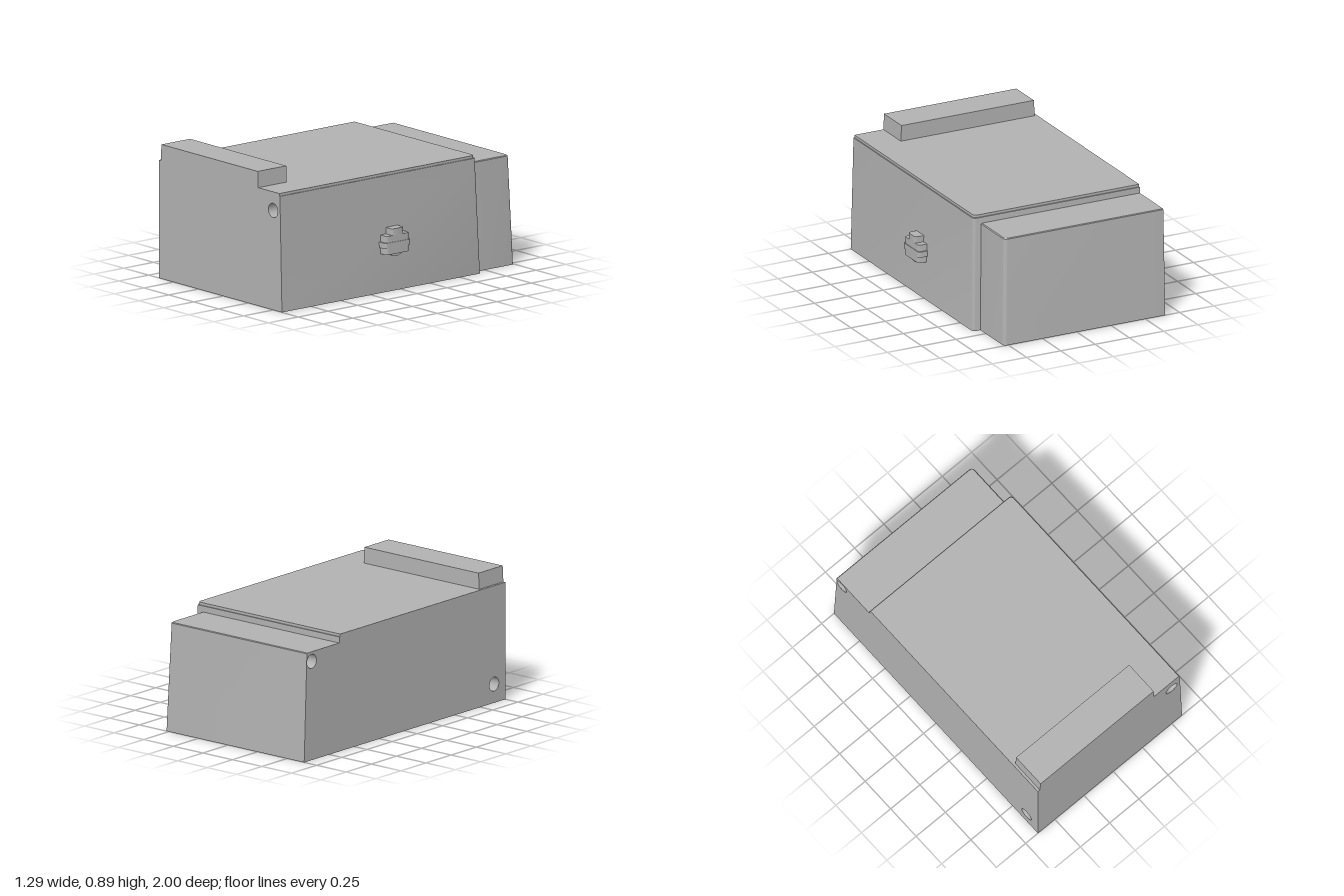
import * as THREE from 'three';
import { toCreasedNormals } from 'three/addons/utils/BufferGeometryUtils.js';

const LEFT = -0.645;
const HOLE_R = 0.047;

export function createModel() {
  const model = new THREE.Group();
  const grey = new THREE.MeshStandardMaterial({ color: 0xb2b2b2, side: THREE.DoubleSide });
  grey.name = 'plainGrey';

  const add = (name, geometry, parent = model) => {
    const mesh = new THREE.Mesh(geometry, grey);
    mesh.name = name;
    parent.add(mesh);
    return mesh;
  };
  const polygon = (points) => new THREE.Shape(points.map(([a, b]) => new THREE.Vector2(a, b)));
  const punch = (shape, a, b) => {
    const hole = new THREE.Path();
    hole.absarc(a, b, HOLE_R, 0, Math.PI * 2, true);
    shape.holes.push(hole);
  };

  // Outline of the two drafted walls, with a rounded corner between them
  const wallPath = (x, z, zStart, r = 0.025) => {
    const points = [[x, zStart]];
    for (let i = 0; i <= 6; i++) {
      const a = (i / 6) * Math.PI / 2;
      points.push([x - r + r * Math.cos(a), z + r - r * Math.sin(a)]);
    }
    points.push([LEFT, z]);
    return points;
  };

  // Drafted shell: levels are [y, right x, back z]
  const shell = (name, zStart, levels) => {
    const rings = levels.map(([y, x, z]) => wallPath(x, z, zStart).map(([px, pz]) => [px, y, pz]));
    const positions = [];
    for (let k = 0; k < rings.length - 1; k++) {
      const low = rings[k], high = rings[k + 1];
      for (let i = 0; i < low.length - 1; i++) {
        positions.push(...low[i], ...low[i + 1], ...high[i + 1], ...low[i], ...high[i + 1], ...high[i]);
      }
    }
    const walls = new THREE.BufferGeometry();
    walls.setAttribute('position', new THREE.Float32BufferAttribute(positions, 3));
    add(name + 'Walls', toCreasedNormals(walls, 0.6));

    const cap = (ring, sign) => {
      const corners = ring.map(([x, , z]) => [x, -sign * z]);
      corners.push([LEFT, -sign * zStart]);
      return new THREE.ShapeGeometry(polygon(corners))
        .rotateX(-sign * Math.PI / 2).translate(0, ring[0][1], 0);
    };
    add(name + 'Top', cap(rings[rings.length - 1], 1));
    add(name + 'Bottom', cap(rings[0], -1));
  };

  shell('mainBlock', 1, [
    [0, 0.587, -0.677], [0.765, 0.567, -0.65], [0.765, 0.56, -0.642], [0.783, 0.56, -0.642],
  ]);
  shell('rearBlock', -0.642, [
    [0, 0.533, -1], [0.72, 0.513, -0.973], [0.725, 0.507, -0.968],
  ]);

  // Flat front face with one pin hole
  const front = polygon([
    [LEFT, 0], [0.587, 0], [0.567, 0.765], [0.56, 0.765], [0.56, 0.783], [LEFT, 0.783],
  ]);
  punch(front, 0.498, 0.66);
  add('frontFace', new THREE.ShapeGeometry(front, 32).translate(0, 0, 1));

  // Flat side face with two pin holes
  const side = polygon([
    [1, 0], [1, 0.783], [-0.642, 0.783], [-0.642, 0.765], [-0.65, 0.765],
    [-0.65, 0.725], [-0.968, 0.725], [-0.973, 0.72], [-1, 0],
  ]);
  punch(side, -0.925, 0.66);
  punch(side, 0.888, 0.125);
  add('sideFace', new THREE.ShapeGeometry(side, 32).rotateY(-Math.PI / 2).translate(LEFT, 0, 0));

  // Blind pin holes sunk into the flat faces
  const pinHole = (x, y, z, turn) => {
    const depth = 0.15;
    const hole = new THREE.Group();
    hole.name = 'pinHole';
    add('holeWall', new THREE.CylinderGeometry(HOLE_R, HOLE_R, depth, 32, 1, true)
      .rotateX(Math.PI / 2).translate(0, 0, -depth / 2), hole);
    add('holeEnd', new THREE.CircleGeometry(HOLE_R, 32).translate(0, 0, -depth), hole);
    hole.position.set(x, y, z);
    hole.rotation.y = turn;
    model.add(hole);
  };
  pinHole(0.498, 0.66, 1, 0);
  pinHole(LEFT, 0.66, -0.925, -Math.PI / 2);
  pinHole(LEFT, 0.125, 0.888, -Math.PI / 2);

  // Raised ledge along the front of the roof
  const ledge = polygon([[-0.628, 0.78], [0.349, 0.78], [0.344, 0.89], [-0.622, 0.89]]);
  add('roofLedge', new THREE.ExtrudeGeometry(ledge, { depth: 0.24, bevelEnabled: false })
    .translate(0, 0, 0.76));

  // Wall fitting: stacked blocks with rounded outer corners over a round boss
  const fitting = new THREE.Group();
  fitting.name = 'wallFitting';
  fitting.position.z = 0.068;
  model.add(fitting);
  const fittingBlock = (name, y0, y1, half, out) => {
    const r = 0.018;
    const plan = new THREE.Shape();
    plan.moveTo(0.565, -half);
    plan.lineTo(out - r, -half);
    plan.absarc(out - r, -half + r, r, -Math.PI / 2, 0, false);
    plan.absarc(out - r, half - r, r, 0, Math.PI / 2, false);
    plan.lineTo(0.565, half);
    plan.closePath();
    const geometry = new THREE.ExtrudeGeometry(plan, { depth: y1 - y0, bevelEnabled: false, curveSegments: 6 })
      .rotateX(-Math.PI / 2).translate(0, y0, 0);
    add(name, toCreasedNormals(geometry, 0.6), fitting);
  };
  fittingBlock('fittingBody', 0.258, 0.382, 0.096, 0.639);
  fittingBlock('fittingBand', 0.3, 0.338, 0.107, 0.643);
  fittingBlock('fittingCap', 0.382, 0.425, 0.05, 0.639);
  add('fittingBoss', new THREE.CylinderGeometry(0.08, 0.08, 0.055, 32)
    .rotateZ(Math.PI / 2).translate(0.5925, 0.317, 0), fitting);

  return model;
}
